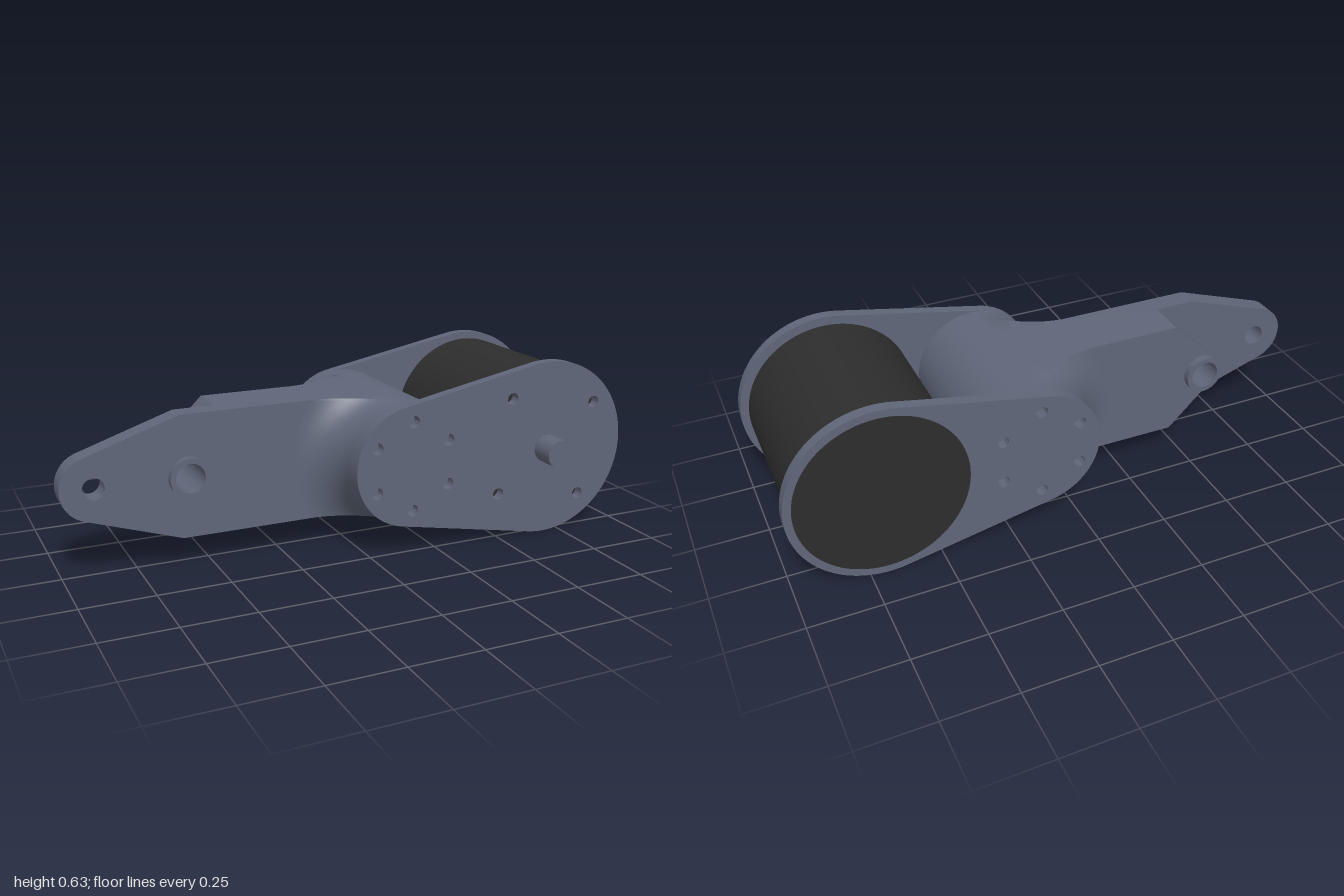
import * as THREE from 'three';
import { toCreasedNormals } from 'three/addons/utils/BufferGeometryUtils.js';

const CY = 0.315;            // height of the centre line
const HUB_X = 0.15, HUB_R = 0.213;
const MOTOR_X = 0.685;
const FRONT = 0.237, BACK = -0.324, PLATE = 0.038;
const ARM_FRONT = 0.06, ARM_STEP = -0.015, ARM_BACK = -0.155;

const circleHole = (x, y, r) => new THREE.Path().absarc(x, y, r, 0, Math.PI * 2, true);

// Extrudes an outline (drawn about the centre line) from z0 to z1
function slab(shape, z0, z1) {
  const geo = new THREE.ExtrudeGeometry(shape, { depth: z1 - z0, bevelEnabled: false, curveSegments: 28 });
  geo.translate(0, CY, z0);
  return toCreasedNormals(geo, 0.5);
}

// Cylinder along z
function rod(x, r, z0, z1, segments = 64) {
  const geo = new THREE.CylinderGeometry(r, r, z1 - z0, segments);
  geo.rotateX(Math.PI / 2);
  geo.translate(x, CY, (z0 + z1) / 2);
  return geo;
}

// Teardrop plate around the hub and the motor
function plateShape() {
  const a = Math.acos((HUB_R - 0.315) / (MOTOR_X - HUB_X));
  const s = new THREE.Shape();
  s.absarc(MOTOR_X, 0, 0.315, -a, a, false);
  s.absarc(HUB_X, 0, HUB_R, a, Math.PI * 2 - a, false);
  s.closePath();
  // ring of six hub bolts
  for (let i = 0; i < 6; i++) {
    const t = Math.PI / 6 + i * Math.PI / 3;
    s.holes.push(circleHole(HUB_X - 0.002 + 0.157 * Math.cos(t), 0.157 * Math.sin(t), 0.021));
  }
  return s;
}

// Arm outline: rounded nose, straight flanks to the shoulder, then parallel sides
function armShape(noseX, noseR, shoulderX) {
  const dx = shoulderX - noseX;
  const a = Math.atan2(HUB_R, dx) + Math.acos(noseR / Math.hypot(dx, HUB_R));
  const s = new THREE.Shape();
  s.moveTo(HUB_X, -HUB_R);
  s.lineTo(HUB_X, HUB_R);
  s.lineTo(shoulderX, HUB_R);
  s.absarc(noseX, 0, noseR, a, Math.PI * 2 - a, false);
  s.lineTo(shoulderX, -HUB_R);
  s.closePath();
  return s;
}

// Concave fillet swept round the hub and trimmed flush with the arm sides
function filletGeometry(z0, dir) {
  const F = 0.14, NT = 64, NR = 14, pos = [], idx = [];
  for (let i = 0; i <= NT; i++) {
    const t = Math.PI / 2 + Math.PI * i / NT;
    const rMax = Math.min(HUB_R + F, HUB_R / Math.max(Math.abs(Math.sin(t)), 1e-6));
    for (let j = 0; j <= NR + 1; j++) {
      const k = Math.min(j / NR, 1);
      const r = HUB_R + (rMax - HUB_R) * k * k;
      const u = HUB_R + F - r;
      const h = j > NR ? 0 : F - Math.sqrt(Math.max(0, F * F - u * u));
      pos.push(HUB_X + r * Math.cos(t), CY + r * Math.sin(t), z0 + dir * h);
    }
  }
  const w = NR + 2;
  for (let i = 0; i < NT; i++) {
    for (let j = 0; j < w - 1; j++) {
      const a = i * w + j, b = a + 1, c = b + w, d = a + w;
      if (dir > 0) idx.push(a, b, c, a, c, d);
      else idx.push(a, c, b, a, d, c);
    }
  }
  const geo = new THREE.BufferGeometry();
  geo.setAttribute('position', new THREE.Float32BufferAttribute(pos, 3));
  geo.setIndex(idx);
  return toCreasedNormals(geo, 0.5);
}

export function createModel() {
  const steel = new THREE.MeshStandardMaterial({ color: 0x5f6678 });
  steel.name = 'blue grey metal';
  const black = new THREE.MeshStandardMaterial({ color: 0x2d2d2d });
  black.name = 'black motor casing';

  const model = new THREE.Group();
  model.name = 'motorArm';
  const add = (name, geo, mat = steel) => {
    const mesh = new THREE.Mesh(geo, mat);
    mesh.name = name;
    model.add(mesh);
  };

  // Side plates; only the front one has motor screw holes
  const front = plateShape();
  for (const [x, y] of [[0.535, 0.196], [0.877, 0.15], [0.49, -0.146], [0.83, -0.19]]) {
    front.holes.push(circleHole(x, y, 0.021));
  }
  add('frontPlate', slab(front, FRONT, FRONT + PLATE));
  add('backPlate', slab(plateShape(), BACK - PLATE, BACK));

  // Motor, showing through the back plate
  add('motor', rod(MOTOR_X, 0.288, BACK - PLATE - 0.0008, 0.23, 96), black);
  add('motorShaft', rod(MOTOR_X, 0.05, 0.22, 0.362, 40));

  // Hub and its fillets into the arm
  add('hub', rod(HUB_X, HUB_R, BACK, FRONT));
  add('frontFillet', filletGeometry(ARM_FRONT, 1));
  add('backFillet', filletGeometry(ARM_BACK, -1));

  // Arm: long thin tongue in front, shorter thick block behind
  const boreX = -0.575;
  const tongue = armShape(-0.89, 0.11, -0.6);
  tongue.holes.push(circleHole(-0.89, 0, 0.037), circleHole(boreX, 0, 0.06));
  add('armTongue', slab(tongue, ARM_STEP, ARM_FRONT));

  const block = armShape(boreX, 0.07, -0.457);
  block.holes.push(circleHole(boreX, 0, 0.06));
  add('armBlock', slab(block, ARM_BACK, ARM_STEP));

  // Pivot bushing
  const ring = new THREE.Shape().absarc(boreX, 0, 0.069, 0, Math.PI * 2, false);
  ring.holes.push(circleHole(boreX, 0, 0.051));
  add('pivotBushing', slab(ring, -0.18, 0.085));

  return model;
}
